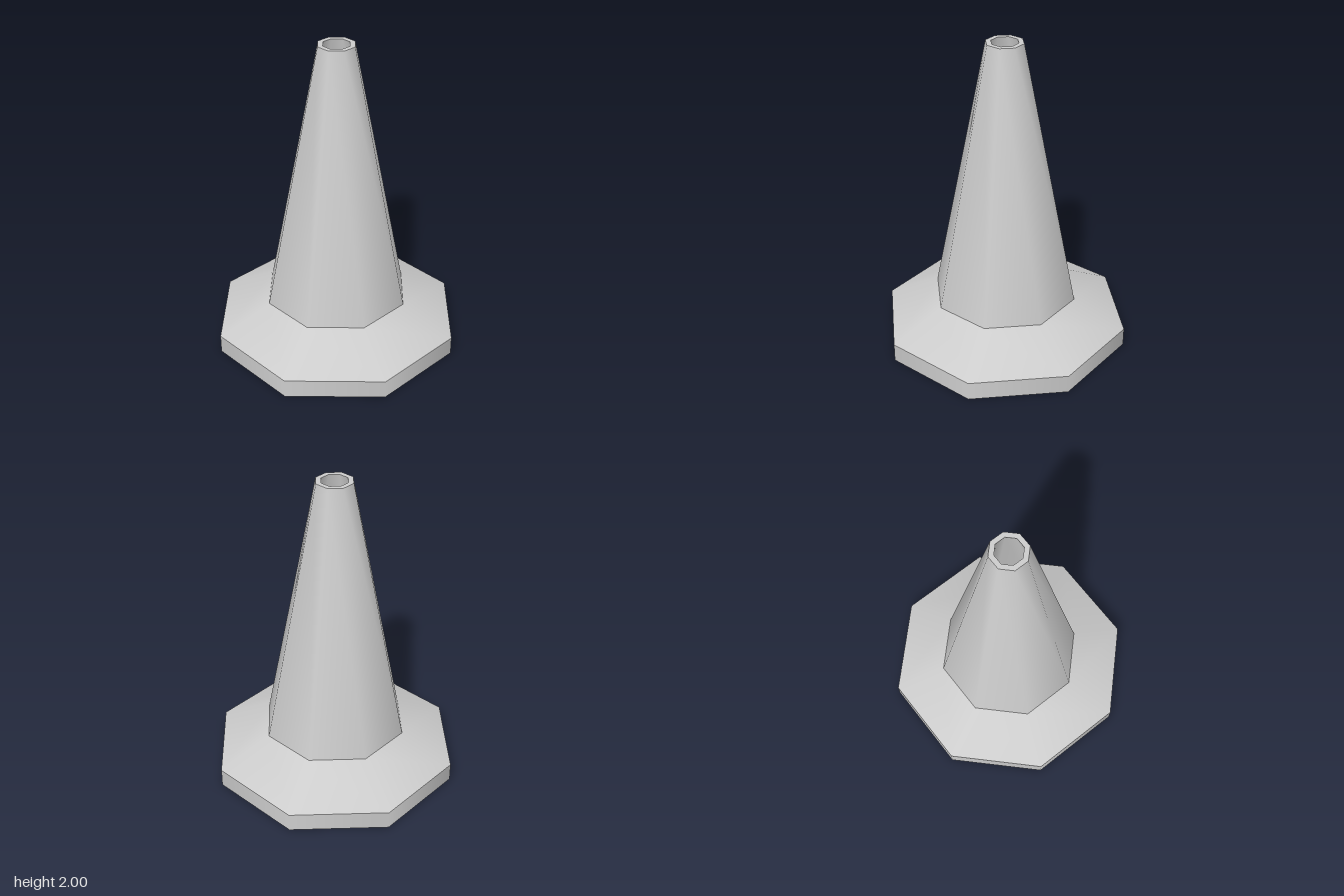
import * as THREE from 'three';

export function createModel() {
  const model = new THREE.Group();
  model.name = 'trafficCone';
  const grey = new THREE.MeshStandardMaterial({ color: 0xcccccc });
  grey.name = 'grey';

  // Closed wall profile (radius, height): up the outside, over the lip, down the inside
  const profile = [
    [0.8, 0], [0.8, 0.12], [0.465, 0.29], [0.118, 2],
    [0.085, 2], [0.445, 0.25], [0.8, 0],
  ].map(([r, y]) => new THREE.Vector2(r, y));
  const names = ['baseRim', 'baseSlope', 'coneWall', 'topLip', 'coneInside', 'baseUnderside'];

  // One eight-sided band per profile segment: smooth around, sharp between bands
  names.forEach((name, i) => {
    const band = new THREE.Mesh(new THREE.LatheGeometry(profile.slice(i, i + 2), 8), grey);
    band.name = name;
    model.add(band);
  });
  return model;
}
